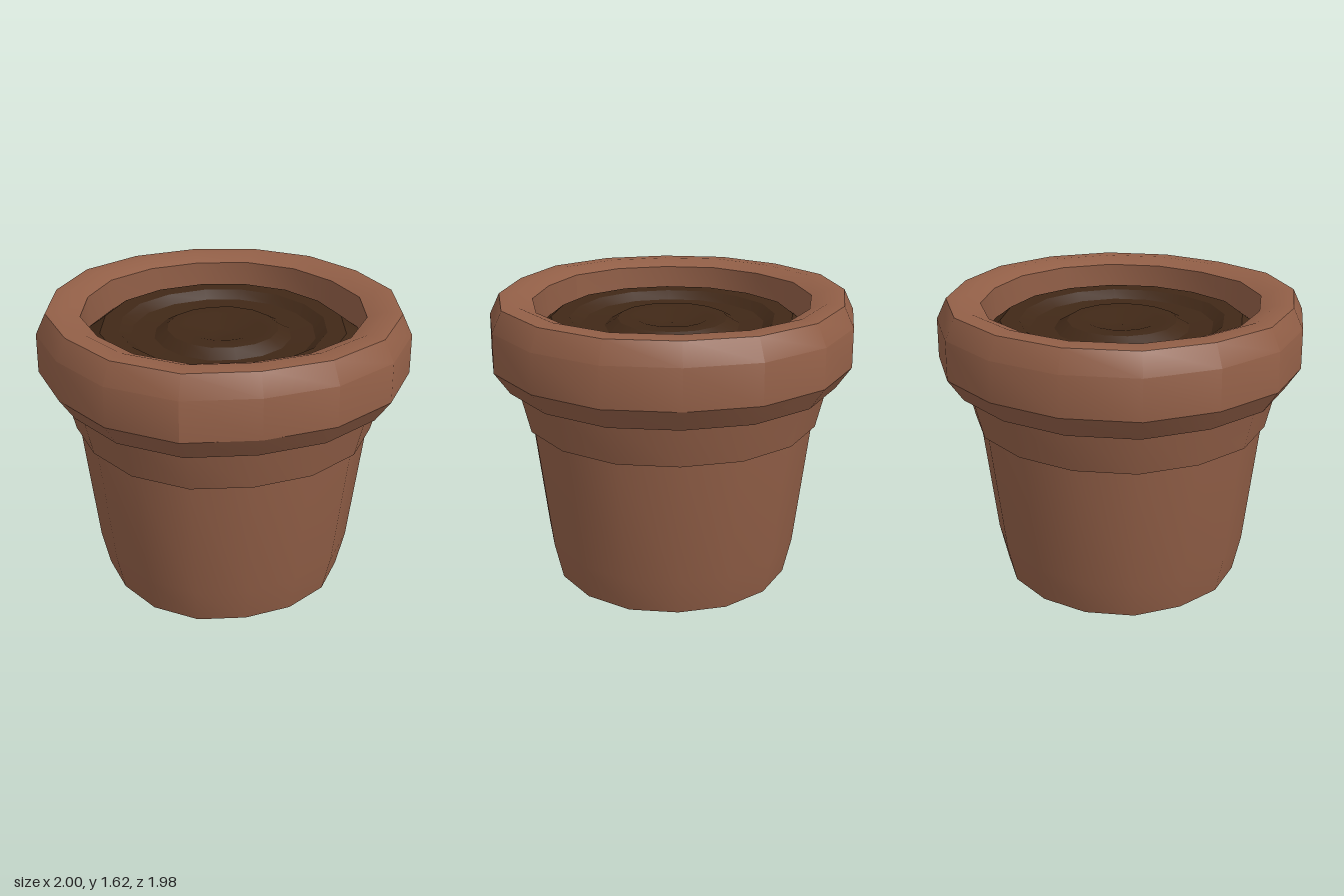
import * as THREE from 'three';
import { toCreasedNormals } from 'three/addons/utils/BufferGeometryUtils.js';

const SIDES = 16;
// Hand-cut outline: radius factor at each corner, starting at +z and turning towards +x
const OUTLINE = [0.99, 0.995, 0.965, 0.98, 1, 1, 0.995, 0.975, 0.99, 0.995, 0.985, 0.99, 1, 0.98, 0.985, 0.97];

// Turn a profile of [radius, y], then push each corner in or out by the outline
function turned(name, profile, color, wobble) {
  const lathe = new THREE.LatheGeometry(profile.map(([r, y]) => new THREE.Vector2(r, y)), SIDES);
  const pos = lathe.attributes.position;
  const rows = profile.length;
  for (let i = 0; i < pos.count; i++) {
    const corner = Math.floor(i / rows) % SIDES;
    const f = 1 + (OUTLINE[corner] - 1) * wobble;
    pos.setXYZ(i, pos.getX(i) * f, pos.getY(i), pos.getZ(i) * f);
  }
  const mesh = new THREE.Mesh(
    toCreasedNormals(lathe, 0.48),
    new THREE.MeshStandardMaterial({ color, side: THREE.DoubleSide })
  );
  mesh.name = name;
  return mesh;
}

export function createModel() {
  const group = new THREE.Group();
  group.name = 'flowerPot';
  const clay = 0x925f47;
  const earth = 0x402817;

  // Tapered body with a chamfered foot and closed base
  group.add(turned('body', [
    [0, 0], [0.56, 0], [0.68, 0.03], [0.725, 0.24], [0.8, 0.94],
  ], clay, 0.8));

  // Flared collar between body and rim
  group.add(turned('collar', [
    [0.8, 0.94], [0.82, 0.94], [0.875, 1.18],
  ], clay, 0.8));

  // Thick rim, bevelled outside and rolled into the mouth
  group.add(turned('rim', [
    [0.82, 1.16], [0.92, 1.17], [1, 1.29], [0.995, 1.5], [0.94, 1.61],
    [0.85, 1.615], [0.76, 1.58], [0.76, 1.38],
  ], clay, 1));

  // Soil surface with low concentric ridges
  group.add(turned('soil', [
    [0.77, 1.4], [0.74, 1.42], [0.66, 1.48], [0.56, 1.48], [0.5, 1.44],
    [0.37, 1.43], [0.3, 1.47], [0.2, 1.47], [0.06, 1.43], [0, 1.44],
  ], earth, 0.6));

  return group;
}
